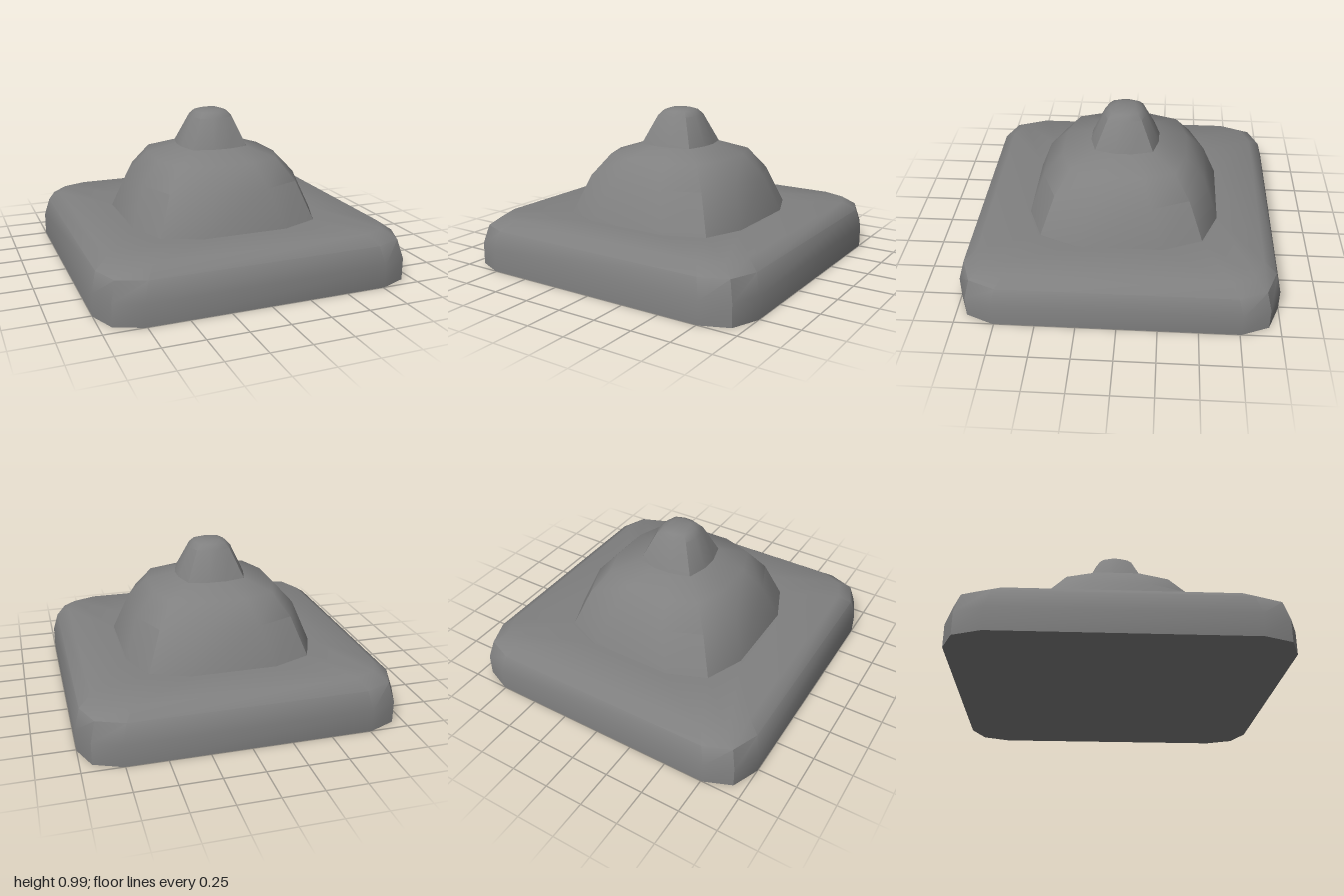
import * as THREE from 'three';
import { toCreasedNormals } from 'three/addons/utils/BufferGeometryUtils.js';

const material = new THREE.MeshStandardMaterial({ color: 0x808080 });

// Twelve-sided rounded square: side distance, half length of the flat, corner point
function ring([y, side, flat, corner]) {
  const points = [];
  for (let i = 0; i < 4; i++) {
    const c = Math.round(Math.cos(i * Math.PI / 2));
    const s = Math.round(Math.sin(i * Math.PI / 2));
    for (const [u, v] of [[side, -flat], [side, flat], [corner, corner]]) {
      points.push([u * c - v * s, y, -(u * s + v * c)]);
    }
  }
  return points;
}

// Skin a stack of rings from bottom to top, with optional flat caps
function loft(name, levels, capBottom, capTop) {
  const rings = levels.map(ring);
  const n = rings[0].length;
  const positions = [];
  const tri = (a, b, c) => positions.push(...a, ...b, ...c);
  for (let k = 0; k < rings.length - 1; k++) {
    const lo = rings[k], hi = rings[k + 1];
    for (let i = 0; i < n; i++) {
      const j = (i + 1) % n;
      tri(lo[i], lo[j], hi[j]);
      tri(lo[i], hi[j], hi[i]);
    }
  }
  const bottom = rings[0], top = rings[rings.length - 1];
  for (let i = 0; i < n; i++) {
    const j = (i + 1) % n;
    if (capBottom) tri([0, bottom[0][1], 0], bottom[j], bottom[i]);
    if (capTop) tri([0, top[0][1], 0], top[i], top[j]);
  }
  const geometry = new THREE.BufferGeometry();
  geometry.setAttribute('position', new THREE.Float32BufferAttribute(positions, 3));
  const mesh = new THREE.Mesh(toCreasedNormals(geometry, 0.7), material);
  mesh.name = name;
  return mesh;
}

export function createModel() {
  const model = new THREE.Group();
  model.name = 'steppedDome';

  // Levels are [height, side, half flat, corner]
  const base = loft('base', [
    [0, 1, 0.76, 0.93],
    [0.14, 1, 0.76, 0.93],
    [0.26, 0.968, 0.73, 0.9],
    [0.316, 0.89, 0.68, 0.83],
    [0.316, 0.615, 0.27, 0.515],
  ], true, false);

  const dome = loft('dome', [
    [0.316, 0.615, 0.27, 0.515],
    [0.56, 0.525, 0.185, 0.425],
    [0.7, 0.4, 0.135, 0.33],
    [0.76, 0.22, 0.055, 0.185],
  ], false, false);

  const knob = loft('knob', [
    [0.76, 0.22, 0.055, 0.185],
    [0.945, 0.135, 0.03, 0.108],
    [0.977, 0.102, 0.023, 0.082],
    [0.99, 0.065, 0.015, 0.052],
  ], false, true);

  model.add(base, dome, knob);
  return model;
}
